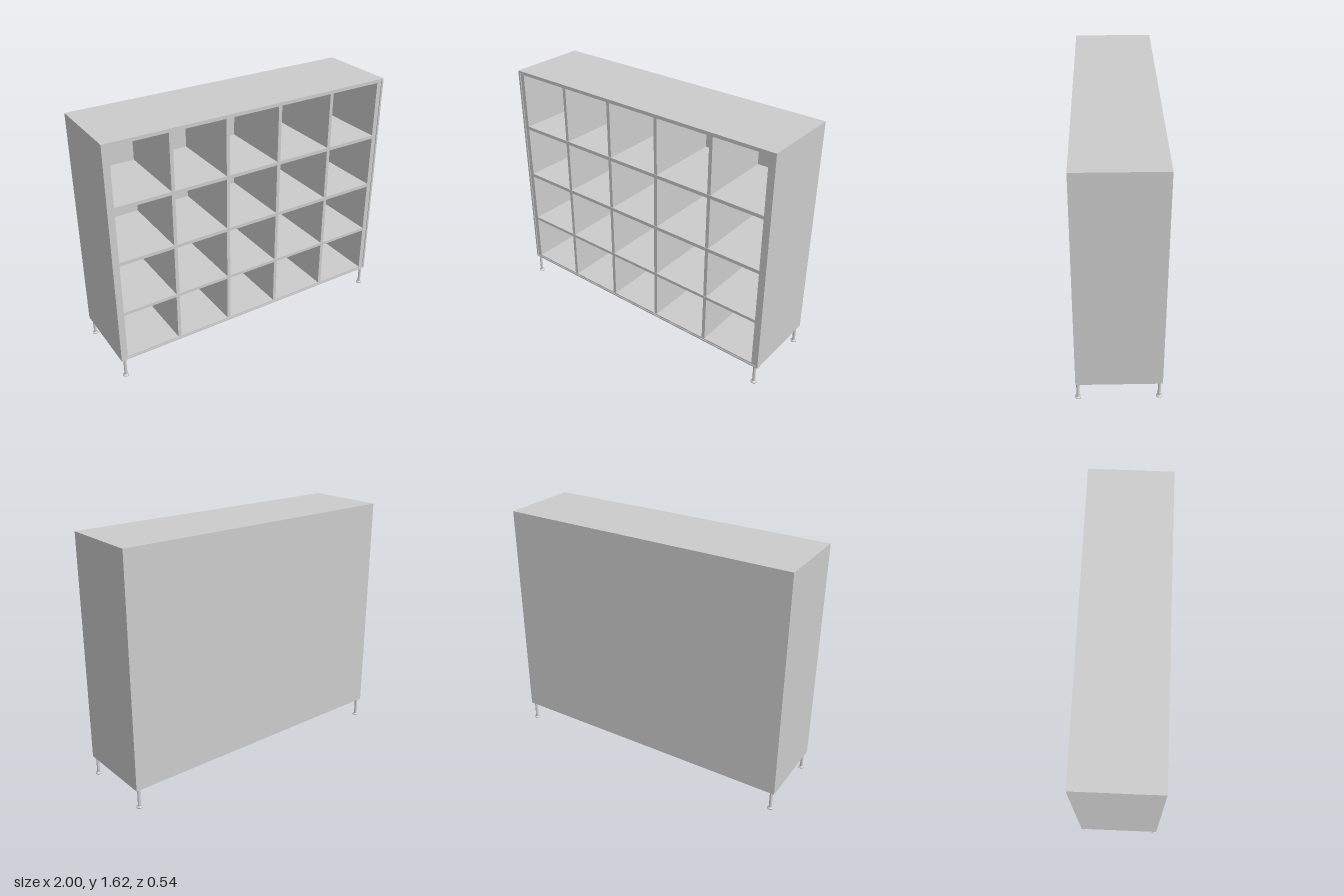
import * as THREE from 'three';

export function createModel() {
  const model = new THREE.Group();
  const material = new THREE.MeshStandardMaterial({ color: 0xcccccc });

  const add = (name, geometry, x, y, z) => {
    const mesh = new THREE.Mesh(geometry, material);
    mesh.name = name;
    mesh.position.set(x, y, z);
    model.add(mesh);
  };

  // A box given by its lower and upper limits on each axis
  const board = (name, [x0, x1], [y0, y1], [z0, z1]) =>
    add(name, new THREE.BoxGeometry(x1 - x0, y1 - y0, z1 - z0),
      (x0 + x1) / 2, (y0 + y1) / 2, (z0 + z1) / 2);

  const bottom = 0.13, top = 1.625, skin = 0.014;
  const back = -0.27, backInner = -0.256, front = 0.265, inset = 0.26;
  const depth = [back, front];

  // Outer shell
  board('topPanel', [-1, 1], [top - skin, top], depth);
  board('bottomPanel', [-1, 1], [bottom, bottom + 0.01], depth);
  for (const s of [-1, 1]) {
    const edges = [s, s * (1 - skin)].sort((a, b) => a - b);
    board('sidePanel', edges, [bottom + 0.01, top - skin], depth);
  }
  board('backPanel', [-1 + skin, 1 - skin], [bottom + 0.01, top - skin], [back, backInner]);

  // Inner lining, set back slightly from the shell edges
  const left = -0.955, right = 0.952, floor = 0.15, ceiling = 1.6;
  const inner = [backInner, inset];
  board('innerTop', [-1 + skin, 1 - skin], [ceiling, top - skin], inner);
  board('innerFloor', [-1 + skin, 1 - skin], [bottom + 0.01, floor], inner);
  board('innerSide', [-1 + skin, left], [floor, ceiling], inner);
  board('innerSide', [right, 1 - skin], [floor, ceiling], inner);

  // Shelves and the dividers between them
  const shelves = [[0.47, 0.49], [0.832, 0.855], [1.203, 1.226]];
  for (const y of shelves) board('shelf', [left, right], y, inner);

  const dividers = [[-0.59, -0.567], [-0.211, -0.188], [0.165, 0.188], [0.565, 0.588]];
  const rows = [floor, ...shelves.flat(), ceiling];
  for (let i = 0; i < rows.length; i += 2) {
    const y = [rows[i], rows[i + 1]];
    for (const x of dividers) board('divider', x, y, [backInner, inset - 0.003]);
    // Upright strips in the rear outer corners of each row
    board('rearStrip', [left, -0.812], y, [backInner, -0.228]);
    board('rearStrip', [0.81, right], y, [backInner, -0.228]);
  }

  // Legs with flat round feet
  const legProfile = [[0, 0], [0.019, 0], [0.019, 0.006], [0.011, 0.01], [0.0095, 0.011], [0.0095, bottom]]
    .map(([r, y]) => new THREE.Vector2(r, y));
  const leg = new THREE.LatheGeometry(legProfile, 20);
  for (const x of [-0.975, 0.975])
    for (const z of [-0.252, 0.252]) add('leg', leg, x, 0, z);

  return model;
}
